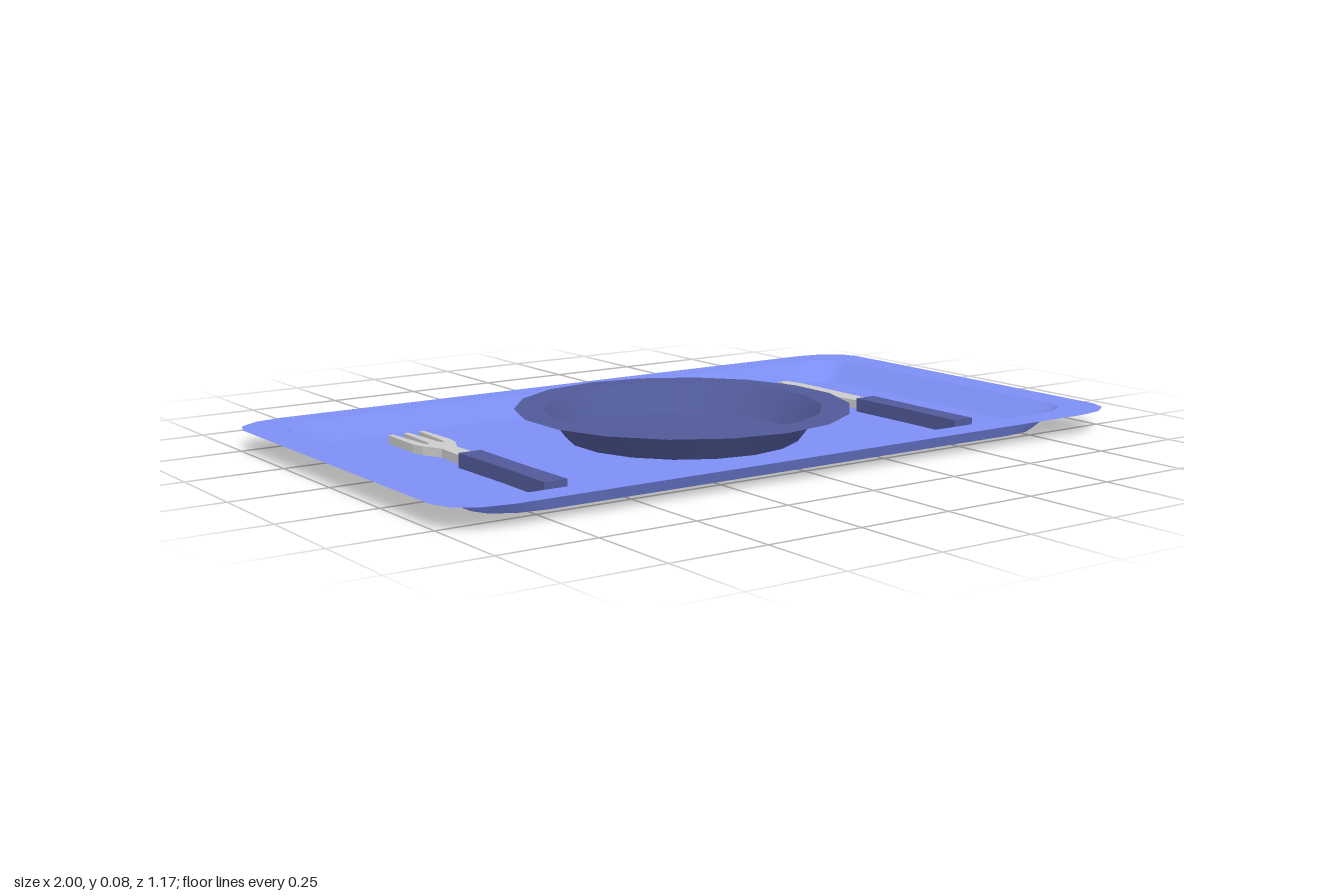
import * as THREE from 'three';
import { mergeGeometries } from 'three/addons/utils/BufferGeometryUtils.js';

const trayBlue = new THREE.MeshStandardMaterial({ color: 0x7d8ff5, side: THREE.DoubleSide });
const plateBlue = new THREE.MeshStandardMaterial({ color: 0x505a98, side: THREE.DoubleSide });
const handleBlue = new THREE.MeshStandardMaterial({ color: 0x505a98 });
const metal = new THREE.MeshStandardMaterial({ color: 0xcccccc });

function mesh(name, geometry, material) {
  const m = new THREE.Mesh(geometry, material);
  m.name = name;
  return m;
}

// Rectangle outline with elliptical three-step corners, at height y
function roundedLoop(hx, hz, rx, rz, y) {
  const loop = [];
  for (let corner = 0; corner < 4; corner++) {
    for (let i = 0; i <= 3; i++) {
      const a = (corner + i / 3) * Math.PI / 2;
      const sx = corner === 0 || corner === 3 ? 1 : -1;
      const sz = corner < 2 ? 1 : -1;
      loop.push([sx * (hx - rx) + rx * Math.cos(a), y, sz * (hz - rz) + rz * Math.sin(a)]);
    }
  }
  return loop;
}

// Upward-facing strip between an inner and an outer loop
function band(inner, outer) {
  const n = inner.length, index = [];
  for (let i = 0; i < n; i++) {
    const j = (i + 1) % n;
    index.push(i, j, n + i, j, n + j, n + i);
  }
  const g = new THREE.BufferGeometry();
  g.setAttribute('position', new THREE.Float32BufferAttribute([...inner, ...outer].flat(), 3));
  g.setIndex(index);
  g.computeVertexNormals();
  return g;
}

// Plan outline given as [x, z] points, raised from y0 to y1
function slab(points, y0, y1) {
  const shape = new THREE.Shape(points.map(([x, z]) => new THREE.Vector2(x, -z)));
  const g = new THREE.ExtrudeGeometry(shape, { depth: y1 - y0, bevelEnabled: false });
  return g.rotateX(-Math.PI / 2).translate(0, y0, 0);
}

function handle() {
  return mesh('handle', slab([[-0.031, 0], [0.031, 0], [0.028, 0.2], [0.031, 0.39],
    [-0.031, 0.39], [-0.028, 0.2]], 0.003, 0.04), handleBlue);
}

function createTray() {
  const tray = new THREE.Group();
  tray.name = 'tray';
  const floor = roundedLoop(0.85, 0.475, 0.15, 0.085, 0);
  const lip = roundedLoop(0.91, 0.511, 0.145, 0.09, 0.055);
  const edge = roundedLoop(1, 0.586, 0.145, 0.1, 0.055);
  const floorShape = new THREE.Shape(floor.map(([x, , z]) => new THREE.Vector2(x, -z)));
  tray.add(
    mesh('trayFloor', new THREE.ShapeGeometry(floorShape).rotateX(-Math.PI / 2), trayBlue),
    mesh('trayWall', band(floor, lip), trayBlue),
    mesh('trayRim', band(lip, edge), trayBlue));
  return tray;
}

function createPlate() {
  // Separate bands keep the creases between base, wall and rim sharp
  const profile = [[0.435, 0.082], [0.36, 0.082], [0.302, 0.005], [0, 0.005]]
    .map(p => new THREE.Vector2(...p));
  const bands = [0, 1, 2].map(i => new THREE.LatheGeometry(profile.slice(i, i + 2), 18));
  return mesh('plate', mergeGeometries(bands), plateBlue);
}

function createFork() {
  const fork = new THREE.Group();
  fork.name = 'fork';
  // Right half of the head, from the handle round to the middle prong
  const half = [[0.026, 0], [0.021, -0.1], [0.046, -0.15], [0.054, -0.19], [0.05, -0.325],
    [0.037, -0.325], [0.028, -0.18], [0.022, -0.168], [0.014, -0.18], [0.007, -0.325]];
  const mirrored = half.map(([x, z]) => [-x, z]).reverse();
  fork.add(handle(), mesh('prongs', slab([...half, ...mirrored], 0.01, 0.032), metal));
  fork.position.x = -0.63;
  return fork;
}

function createKnife() {
  const knife = new THREE.Group();
  knife.name = 'knife';
  const outline = [[0.025, 0], [0.025, -0.31], [0.012, -0.367], [-0.013, -0.367],
    [-0.032, -0.27], [-0.041, -0.18], [-0.036, -0.1], [-0.022, 0]];
  knife.add(handle(), mesh('blade', slab(outline, 0.01, 0.032), metal));
  knife.position.x = 0.618;
  return knife;
}

export function createModel() {
  const model = new THREE.Group();
  model.name = 'dinnerTray';
  model.add(createTray(), createPlate(), createFork(), createKnife());
  return model;
}
